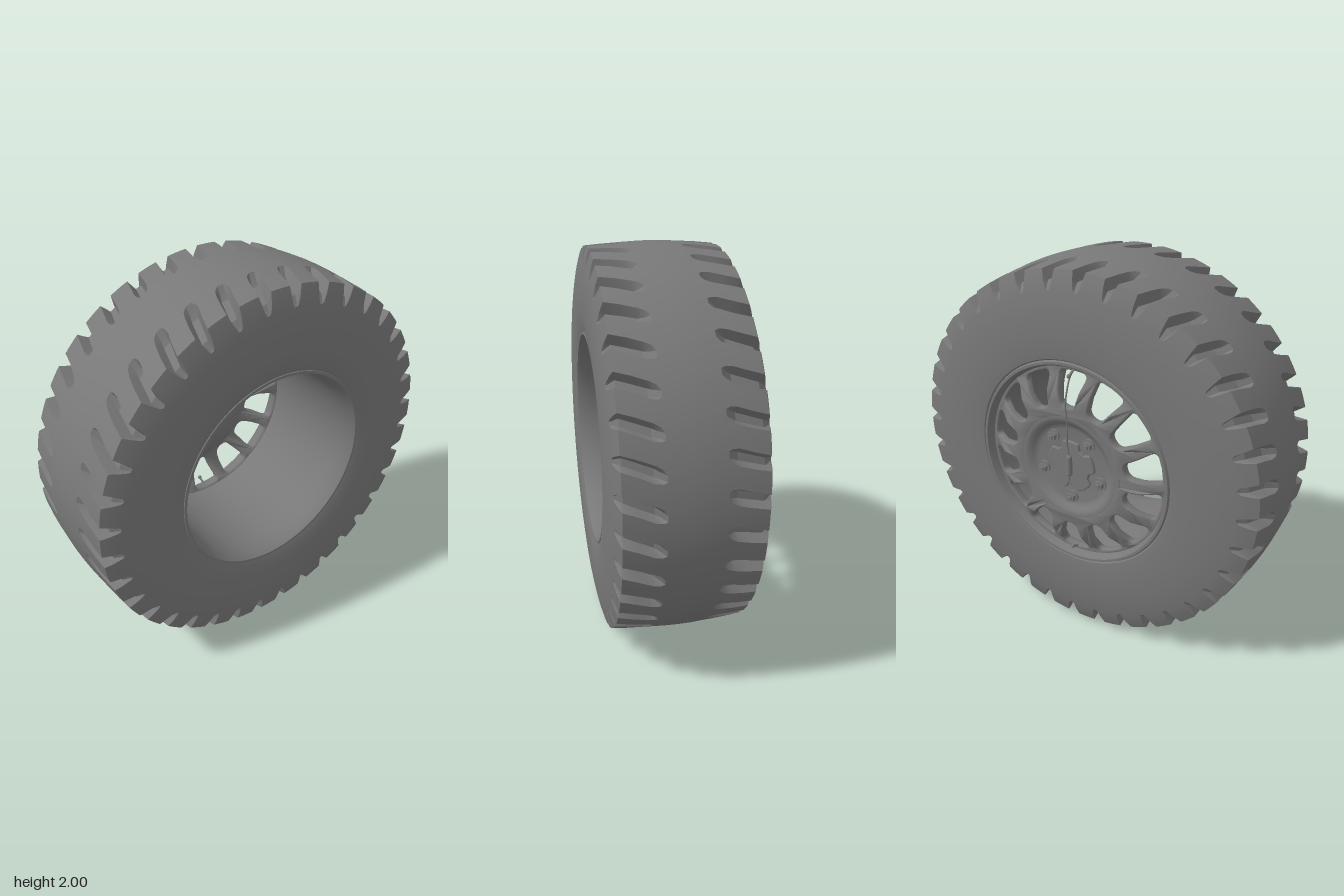
import * as THREE from 'three';
import { toCreasedNormals } from 'three/addons/utils/BufferGeometryUtils.js';

const solid = new THREE.MeshStandardMaterial({ color: 0x787878 });
const thin = new THREE.MeshStandardMaterial({ color: 0x787878, side: THREE.DoubleSide });

function add(parent, name, geometry, material = solid) {
  const mesh = new THREE.Mesh(geometry, material);
  mesh.name = name;
  parent.add(mesh);
  return mesh;
}

// Turned part around the z axis from [radius, z] points
function turned(points, segments = 96) {
  const g = new THREE.LatheGeometry(points.map(p => new THREE.Vector2(...p)), segments);
  g.rotateX(Math.PI / 2);
  return toCreasedNormals(g, 0.6);
}

// Tyre: a ring of cross-sections; each row has a surface point and,
// where the tread is cut, a groove floor point, width factor and slant
function tyreGeometry() {
  const LUGS = 36, period = Math.PI * 2 / LUGS;
  // radius, z, floor radius, floor z, groove width, slant angle
  const rows = [
    [0.535, 0.335], [0.55, 0.36], [0.58, 0.371], [0.66, 0.378], [0.78, 0.376], [0.84, 0.37],
    [0.885, 0.363, 0.885, 0.363, 0.3, 0],
    [0.9, 0.36, 0.892, 0.354, 0.55, 0],
    [0.94, 0.352, 0.91, 0.341, 0.8, 0],
    [0.982, 0.34, 0.925, 0.328, 1, 0],
    [0.988, 0.27, 0.935, 0.27, 1.05, -0.025],
    [0.992, 0.2, 0.945, 0.2, 1.1, -0.055],
    [0.994, 0.168, 0.965, 0.176, 0.9, -0.066],
    [0.995, 0.15, 0.995, 0.15, 0.55, -0.07],
    [0.999, 0.07, 0.999, 0.07, 0.5, -0.05],
    [1.0, 0.01, 1.0, 0.01, 0.5, -0.03],
    [0.999, -0.05, 0.999, -0.05, 0.5, -0.015],
    [0.995, -0.11, 0.995, -0.11, 0.55, 0],
    [0.994, -0.128, 0.965, -0.136, 0.9, -0.003],
    [0.992, -0.16, 0.945, -0.16, 1.1, -0.012],
    [0.988, -0.22, 0.935, -0.22, 1.05, -0.03],
    [0.98, -0.297, 0.925, -0.286, 1, -0.05],
    [0.94, -0.313, 0.91, -0.303, 0.8, -0.05],
    [0.9, -0.324, 0.892, -0.318, 0.55, -0.05],
    [0.885, -0.327, 0.885, -0.327, 0.3, -0.05],
    [0.84, -0.336], [0.78, -0.344], [0.7, -0.349], [0.6, -0.35], [0.56, -0.345], [0.54, -0.325],
  ];
  const position = [], index = [];
  const cols = LUGS * 8;
  rows.forEach(([r, z, fr = r, fz = z, w = 0.3, slant = z > 0 ? 0 : -0.05], i) => {
    const top = 0.2 * w, floor = 0.1 * w;
    const ts = [-0.5, -0.33, -top, -floor, 0, floor, top, 0.33];
    for (let j = 0; j < cols; j++) {
      const k = j % 8, cut = k >= 3 && k <= 5;
      const a = (Math.floor(j / 8) + 0.5 + ts[k]) * period + slant;
      const rad = cut ? fr : r;
      position.push(rad * Math.cos(a), rad * Math.sin(a), cut ? fz : z);
      if (i === rows.length - 1) continue;
      const p = i * cols + j, q = i * cols + (j + 1) % cols;
      index.push(p, p + cols, q, q, p + cols, q + cols);
    }
  });
  const g = new THREE.BufferGeometry();
  g.setAttribute('position', new THREE.Float32BufferAttribute(position, 3));
  g.setIndex(index);
  return toCreasedNormals(g, 0.45);
}

// Outward bulge of the wheel face by radius (z of its outer skin)
const faceZ = r => -0.308 - 0.06 * THREE.MathUtils.smoothstep(0.515 - r, 0, 0.13);

function circlePoints(r, n) {
  return Array.from({ length: n }, (_, i) => {
    const a = i / n * Math.PI * 2;
    return new THREE.Vector2(r * Math.cos(a), r * Math.sin(a));
  });
}

// Spoked ring: a disc with tapered, rounded windows, bent to the bulge
function spokesGeometry() {
  const shape = new THREE.Shape(circlePoints(0.535, 112));
  shape.holes.push(new THREE.Path(circlePoints(0.27, 70)));
  for (let i = 0; i < 14; i++) {
    const a = Math.PI / 2 + i * Math.PI / 7;
    const at = (r, s) => [r * Math.cos(a) - s * Math.sin(a), r * Math.sin(a) + s * Math.cos(a)];
    const h = new THREE.Path();
    h.moveTo(...at(0.328, 0));
    h.quadraticCurveTo(...at(0.328, 0.036), ...at(0.362, 0.044));
    h.lineTo(...at(0.41, 0.058));
    h.lineTo(...at(0.465, 0.074));
    h.quadraticCurveTo(...at(0.492, 0.08), ...at(0.496, 0.05));
    h.lineTo(...at(0.5, 0));
    h.lineTo(...at(0.496, -0.05));
    h.quadraticCurveTo(...at(0.492, -0.08), ...at(0.465, -0.074));
    h.lineTo(...at(0.41, -0.058));
    h.lineTo(...at(0.362, -0.044));
    h.quadraticCurveTo(...at(0.328, -0.036), ...at(0.328, 0));
    shape.holes.push(h);
  }
  const g = new THREE.ExtrudeGeometry(shape, {
    depth: 0.02, curveSegments: 6, bevelEnabled: true,
    bevelThickness: 0.014, bevelSize: 0.009, bevelOffset: -0.009, bevelSegments: 3,
  });
  const p = g.attributes.position;
  for (let i = 0; i < p.count; i++) {
    p.setZ(i, p.getZ(i) + 0.014 + faceZ(Math.hypot(p.getX(i), p.getY(i))));
  }
  return toCreasedNormals(g, 0.9);
}

// Thin plate with scallops that clear the five bolts
function rosetteGeometry() {
  const pts = circlePoints(1, 80).map(v => {
    const c = Math.cos(5 * (v.angle() + Math.PI / 2));
    return v.multiplyScalar(0.135 - 0.03 * THREE.MathUtils.smoothstep(c, 0.1, 0.7));
  });
  const g = new THREE.ExtrudeGeometry(new THREE.Shape(pts), {
    depth: 0.012, bevelEnabled: true, bevelThickness: 0.004, bevelSize: 0.004, bevelSegments: 1,
  });
  return toCreasedNormals(g, 0.5);
}

function tube(points, radius) {
  const curve = new THREE.CatmullRomCurve3(points.map(p => new THREE.Vector3(...p)));
  return new THREE.TubeGeometry(curve, 28, radius, 6);
}

export function createModel() {
  const model = new THREE.Group();
  const wheel = new THREE.Group();
  wheel.name = 'wheel';
  wheel.position.y = 1;
  model.add(wheel);

  add(wheel, 'tyre', tyreGeometry());

  // Rim barrel with a rolled lip at both ends
  add(wheel, 'rimBarrel', turned([
    [0.56, 0.35], [0.554, 0.366], [0.54, 0.366], [0.532, 0.35], [0.52, 0.31], [0.514, 0.25],
    [0.51, 0], [0.51, -0.29], [0.52, -0.312], [0.526, -0.338], [0.535, -0.35],
    [0.548, -0.35], [0.556, -0.335],
  ]), thin);

  add(wheel, 'spokes', spokesGeometry());

  // Hub: domed inside, dished outside
  const dome = [];
  for (let i = 0; i <= 14; i++) {
    const t = i / 14;
    dome.push([0.325 * t, -0.33 + 0.13 * (1 - t * t)]);
  }
  add(wheel, 'hubDome', turned(dome, 64), thin);
  add(wheel, 'hubDish', turned([
    [0.3, -0.35], [0.295, -0.366], [0.27, -0.369], [0.25, -0.364], [0.232, -0.348],
    [0.218, -0.338], [0.2, -0.335], [0, -0.335],
  ], 64), thin);
  add(wheel, 'hubRosette', rosetteGeometry()).position.z = -0.346;

  // Five wheel bolts: collar, hexagonal nut and stud
  for (let i = 0; i < 5; i++) {
    const a = -Math.PI / 2 + i * Math.PI * 2 / 5;
    const bolt = new THREE.Group();
    bolt.name = 'wheelBolt';
    bolt.position.set(0.178 * Math.cos(a), 0.178 * Math.sin(a), 0);
    wheel.add(bolt);
    [['boltCollar', 0.034, 24, -0.33, -0.345], ['boltNut', 0.025, 6, -0.34, -0.367],
      ['boltStud', 0.014, 16, -0.36, -0.378]].forEach(([name, r, n, z0, z1]) => {
      const g = new THREE.CylinderGeometry(r, r, z0 - z1, n).rotateX(Math.PI / 2);
      add(bolt, name, toCreasedNormals(g, 0.6)).position.z = (z0 + z1) / 2;
    });
  }

  // Pressure sensor on the hub with its hose up to the rim valve
  add(wheel, 'sensorBody', new THREE.CapsuleGeometry(0.015, 0.09, 4, 12)).position.set(0, 0.01, -0.36);
  add(wheel, 'sensorHose', tube([
    [0, 0.06, -0.36], [0.006, 0.14, -0.366], [-0.004, 0.24, -0.373], [0.004, 0.34, -0.375],
    [0, 0.43, -0.36], [0, 0.48, -0.335], [0, 0.505, -0.3],
  ], 0.004));
  add(wheel, 'sensorTail', tube([[0, -0.05, -0.36], [0.01, -0.09, -0.358], [0.03, -0.11, -0.35]], 0.004));

  // Valves at the top and bottom of the rim
  for (const s of [1, -1]) {
    add(wheel, 'valveStem', tube([[0, s * 0.512, -0.29], [0, s * 0.5, -0.315], [0, s * 0.485, -0.345]], 0.007));
    add(wheel, 'valveCap', new THREE.SphereGeometry(0.011, 12, 8)).position.set(0, s * 0.485, -0.345);
  }
  return model;
}
